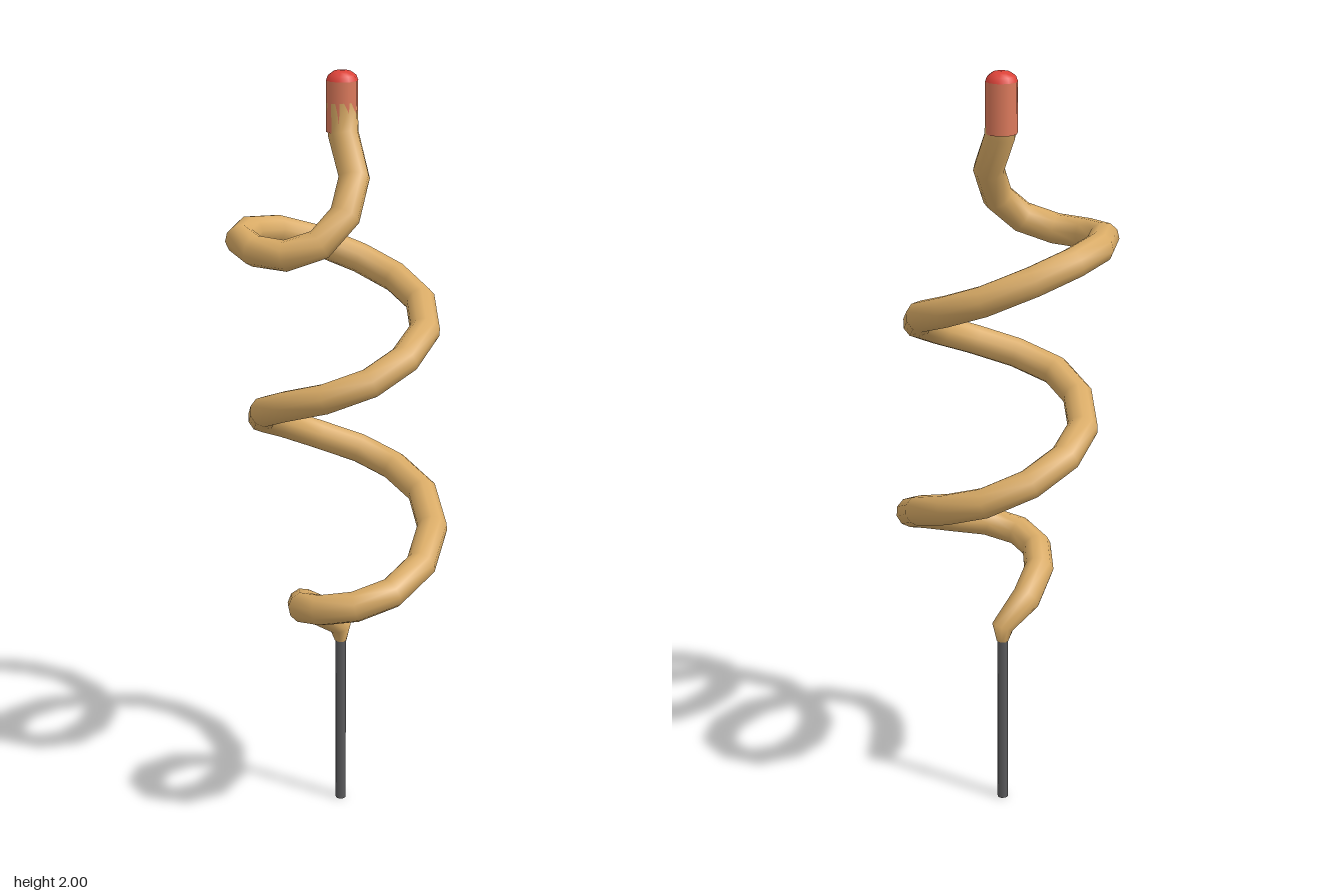
import * as THREE from 'three';

const SIDES = 10;
const RADIUS = 0.04;

function material(name, color, side = THREE.FrontSide) {
  const m = new THREE.MeshStandardMaterial({ color, side });
  m.name = name;
  return m;
}

function part(group, name, geometry, mat, x = 0, y = 0, z = 0) {
  const mesh = new THREE.Mesh(geometry, mat);
  mesh.name = name;
  mesh.position.set(x, y, z);
  group.add(mesh);
  return mesh;
}

// Centre line of the coil, from the stick up to the tip
const PATH = [
  [0, 0.465, -0.042], [0, 0.505, -0.042], [-0.055, 0.57, 0.01], [-0.075, 0.62, 0.1],
  [-0.055, 0.645, 0.19], [0.005, 0.665, 0.25], [0.095, 0.685, 0.26],
  [0.18, 0.71, 0.21], [0.24, 0.755, 0.11], [0.248, 0.81, -0.025],
  [0.2, 0.865, -0.15], [0.11, 0.905, -0.23], [0.01, 0.94, -0.26],
  [-0.1, 0.985, -0.225], [-0.18, 1.035, -0.15], [-0.21, 1.08, -0.045],
  [-0.18, 1.13, 0.065], [-0.11, 1.17, 0.14], [0, 1.205, 0.17],
  [0.11, 1.245, 0.143], [0.185, 1.29, 0.065], [0.22, 1.34, -0.042],
  [0.19, 1.39, -0.15], [0.11, 1.43, -0.228], [0.01, 1.47, -0.26],
  [-0.11, 1.52, -0.24], [-0.2, 1.555, -0.18], [-0.25, 1.57, -0.085],
  [-0.25, 1.57, 0.015], [-0.195, 1.56, 0.09], [-0.11, 1.56, 0.125],
  [-0.025, 1.59, 0.113], [0.03, 1.655, 0.06], [0.042, 1.74, 0.0],
  [0.004, 1.84, -0.052], [0, 1.92, -0.055],
].map((p) => new THREE.Vector3(...p));

function coilGeometry() {
  // One ring of the tube at each path point
  const curve = new THREE.CatmullRomCurve3(PATH);
  curve.getPointAt = curve.getPoint;
  curve.getTangentAt = curve.getTangent;
  const geo = new THREE.TubeGeometry(curve, PATH.length - 1, RADIUS, SIDES, false);

  // Narrow the lowest rings towards the stick
  const pos = geo.attributes.position;
  const v = new THREE.Vector3();
  [0.4, 0.75].forEach((scale, ring) => {
    for (let j = 0; j <= SIDES; j++) {
      const i = ring * (SIDES + 1) + j;
      v.fromBufferAttribute(pos, i).sub(PATH[ring]).multiplyScalar(scale).add(PATH[ring]);
      pos.setXYZ(i, v.x, v.y, v.z);
    }
  });
  geo.computeVertexNormals();

  // Keep the shading continuous across the tube seam
  const n = geo.attributes.normal;
  const w = new THREE.Vector3();
  for (let r = 0; r < PATH.length; r++) {
    const a = r * (SIDES + 1), b = a + SIDES;
    v.fromBufferAttribute(n, a).add(w.fromBufferAttribute(n, b)).normalize();
    n.setXYZ(a, v.x, v.y, v.z);
    n.setXYZ(b, v.x, v.y, v.z);
  }
  return geo;
}

export function createModel() {
  const group = new THREE.Group();
  group.name = 'spiralOnStick';

  const tan = material('golden tan', 0xd9ab66, THREE.DoubleSide);
  const salmon = material('salmon', 0xdd7a5c);
  const red = material('red', 0xdc4238);
  const grey = material('dark grey', 0x5a5a5c);

  // Stick
  part(group, 'stick', new THREE.CylinderGeometry(0.014, 0.014, 0.5, 8), grey, 0, 0.25, -0.042);

  // Spiral body
  part(group, 'spiral', coilGeometry(), tan);

  // Coloured end of the spiral
  part(group, 'collar', new THREE.CylinderGeometry(0.041, 0.041, 0.13, SIDES, 1, true),
    salmon, 0, 1.91, -0.056);

  // Rounded tip
  const dome = [[0.041, 0], [0.036, 0.013], [0.022, 0.023], [0, 0.025]]
    .map(([r, y]) => new THREE.Vector2(r, y));
  part(group, 'tip', new THREE.LatheGeometry(dome, SIDES), red, 0, 1.975, -0.056);

  return group;
}
